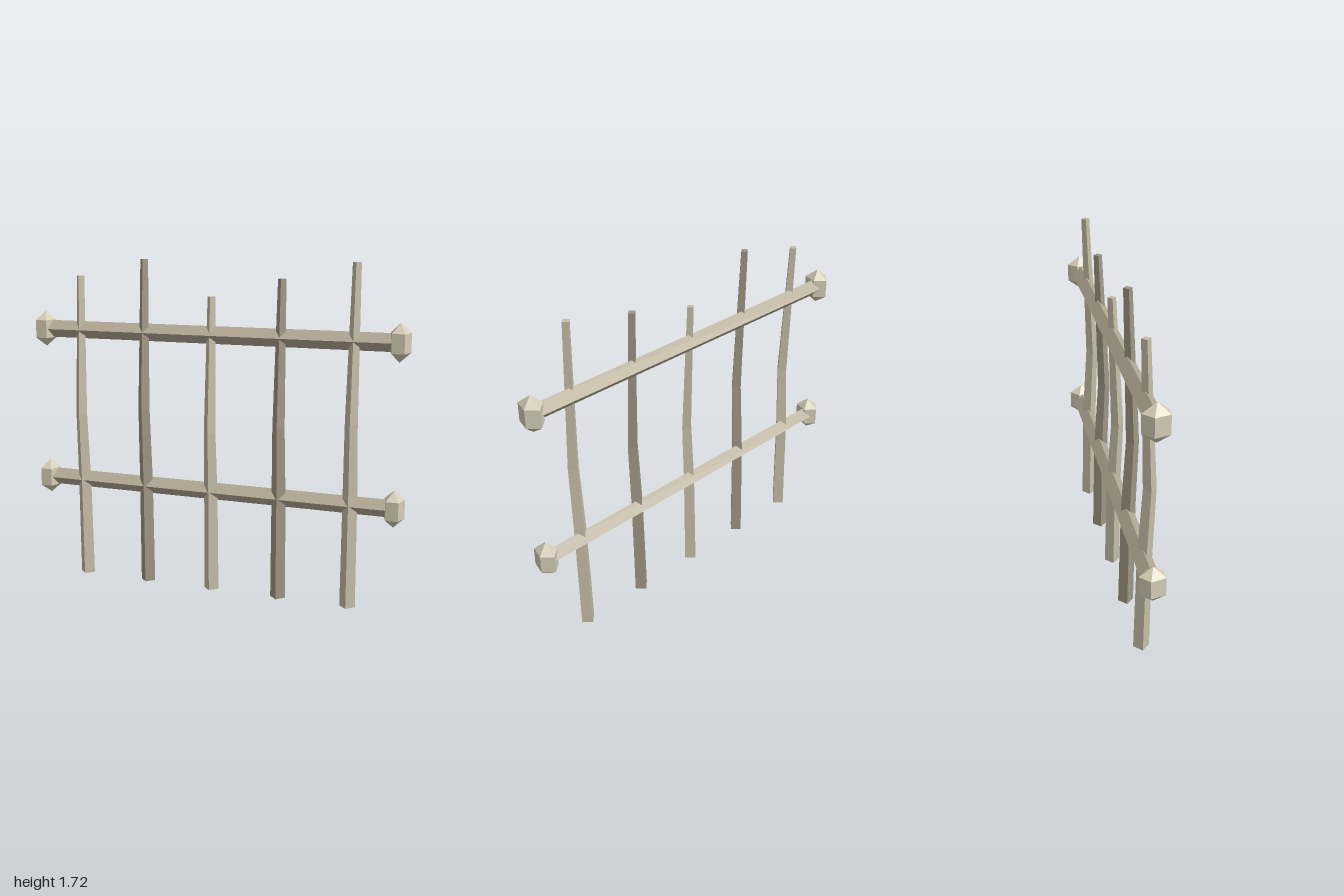
import * as THREE from 'three';

const paint = (name, color) => {
  const m = new THREE.MeshStandardMaterial({ color, flatShading: true });
  m.name = name;
  return m;
};

// Bowed, tapering stake with a diamond cross-section: [height fraction, radius, z offset]
const STAKE = [
  [0, 0.04, 0.004],
  [0.33, 0.037, 0.013],
  [0.55, 0.032, 0.031],
  [0.8, 0.026, 0.015],
  [1, 0.0215, 0.002],
];

function stakeGeometry(height) {
  const segs = STAKE.length - 1;
  const geo = new THREE.CylinderGeometry(1, 1, 1, 4, segs);
  const p = geo.attributes.position;
  for (let i = 0; i < p.count; i++) {
    const [t, r, z] = STAKE[Math.round((p.getY(i) + 0.5) * segs)];
    p.setXYZ(i, p.getX(i) * r, t * height, p.getZ(i) * r + z);
  }
  geo.computeVertexNormals();
  return geo;
}

export function createModel() {
  const model = new THREE.Group();
  model.name = 'fence';
  const paleWood = paint('pale wood', 0xc6bea8);
  const darkWood = paint('dark wood', 0xa09784);
  const railWood = paint('rail wood', 0xb4aa95);
  const knobBone = paint('knob bone', 0xd4cdb6);

  const add = (name, geo, mat, x, y, z = 0) => {
    const mesh = new THREE.Mesh(geo, mat);
    mesh.name = name;
    mesh.position.set(x, y, z);
    model.add(mesh);
  };

  // Upright stakes of uneven height, alternating in tone
  [1.63, 1.72, 1.54, 1.635, 1.72].forEach((h, i) => {
    add('stake' + (i + 1), stakeGeometry(h), i % 2 ? darkWood : paleWood, (i - 2) * 0.367, 0);
  });

  // Two diamond-section rails with a five-sided pointed knob at each end
  const rail = new THREE.CylinderGeometry(0.045, 0.045, 1.9, 4).rotateZ(Math.PI / 2);
  const knob = new THREE.SphereGeometry(1, 5, 3).rotateY(-Math.PI / 2).scale(0.061, 0.094, 0.077);
  for (const [level, y] of [['lower', 0.533], ['upper', 1.347]]) {
    add(level + 'Rail', rail, railWood, 0, y);
    add(level + 'LeftKnob', knob, knobBone, 0.95, y, 0.002);
    add(level + 'RightKnob', knob, knobBone, -0.95, y, 0.002);
  }
  return model;
}
